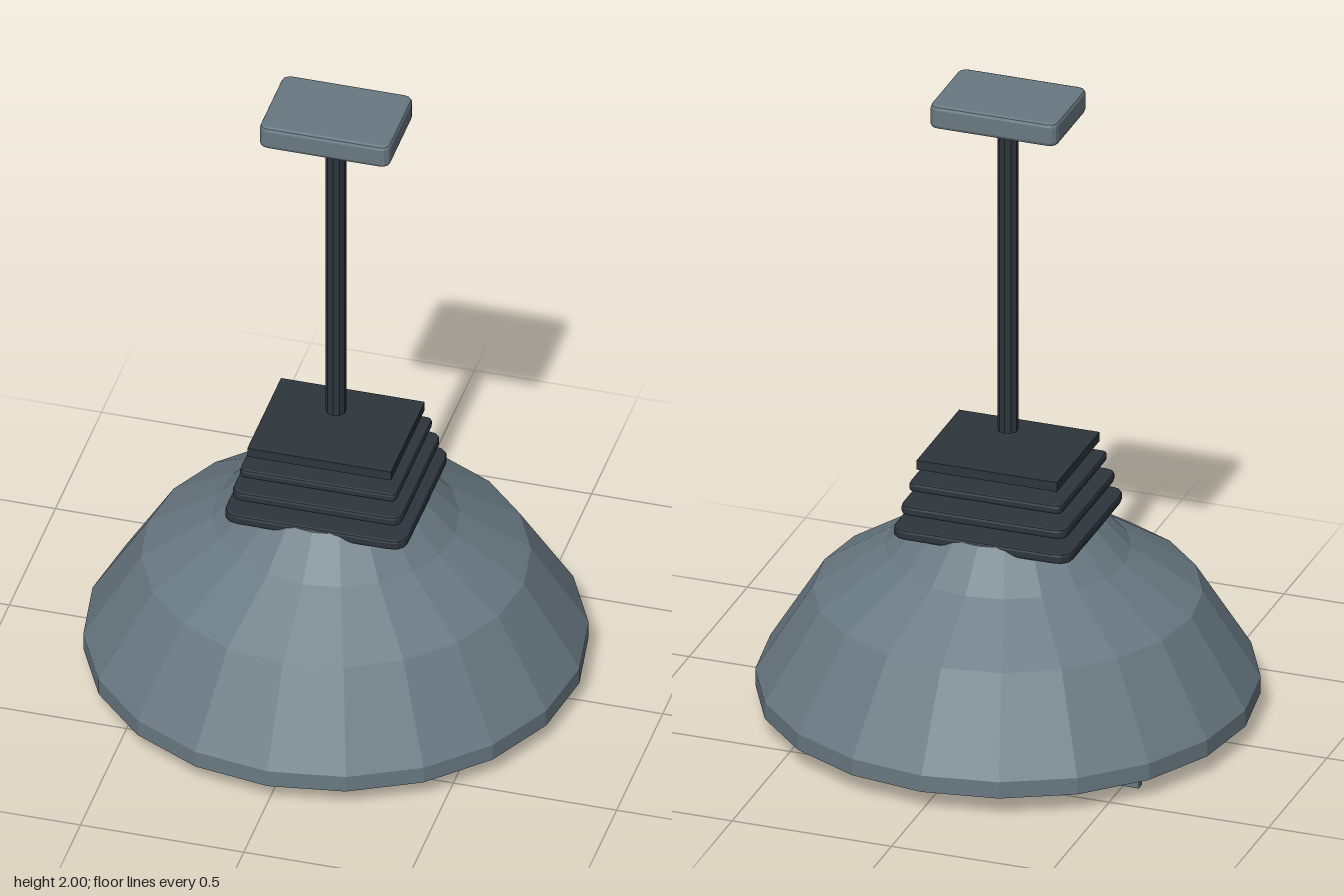
import * as THREE from 'three';

const material = (name, color, flatShading = true) =>
  Object.assign(new THREE.MeshStandardMaterial({ color }), { name, flatShading });

export function createModel() {
  const slate = material('slate enamel', 0x697982);
  const dark = material('dark metal', 0x2d353c);
  const pale = material('pale diffuser', 0xbcd4cf);
  const model = new THREE.Group();
  model.name = 'pendantLamp';

  const add = (name, geometry, mat, x = 0, y = 0, z = 0) => {
    const mesh = new THREE.Mesh(geometry, mat);
    mesh.name = name;
    mesh.position.set(x, y, z);
    model.add(mesh);
    return mesh;
  };

  // Horizontal plate with rounded corners and bevelled edges, from y0 to y1
  const plate = (hx, hz, y0, y1, radius, bevel) => {
    const a = hx - bevel, b = hz - bevel, r = radius - bevel;
    const s = new THREE.Shape();
    s.moveTo(-a + r, -b);
    s.lineTo(a - r, -b);
    s.quadraticCurveTo(a, -b, a, -b + r);
    s.lineTo(a, b - r);
    s.quadraticCurveTo(a, b, a - r, b);
    s.lineTo(-a + r, b);
    s.quadraticCurveTo(-a, b, -a, b - r);
    s.lineTo(-a, -b + r);
    s.quadraticCurveTo(-a, -b, -a + r, -b);
    const g = new THREE.ExtrudeGeometry(s, {
      depth: y1 - y0 - 2 * bevel, bevelEnabled: true, bevelSize: bevel,
      bevelThickness: bevel, bevelSegments: 2, curveSegments: 3,
    });
    return g.rotateX(-Math.PI / 2).translate(0, y0 + bevel, 0);
  };

  // Ceiling canopy and stem
  add('ceilingCanopy', plate(0.2, 0.14, 1.925, 2, 0.03, 0.012), slate);
  add('stem', new THREE.CylinderGeometry(0.031, 0.031, 1.015, 10), dark, 0, 1.4175, 0);

  // Stacked cooling fins, the top one square-cornered
  add('topFin', new THREE.BoxGeometry(0.44, 0.03, 0.365), dark, 0, 0.84, 0);
  [
    [0.24, 0.205, 0.76, 0.788, 0.02],
    [0.26, 0.227, 0.69, 0.72, 0.035],
    [0.28, 0.25, 0.62, 0.652, 0.05],
  ].forEach(([hx, hz, y0, y1, r], i) =>
    add('fin' + (i + 1), plate(hx, hz, y0, y1, r, 0.008), dark));

  // Faceted shade, closed at top and bottom
  const profile = [
    [0, 0.062], [0.745, 0.062], [0.745, 0.115], [0.575, 0.39],
    [0.365, 0.53], [0.258, 0.645], [0, 0.645],
  ].map(([r, y]) => new THREE.Vector2(r, y));
  add('shade', new THREE.LatheGeometry(profile, 20), slate);

  // Diffuser disc with guard bars beneath
  add('diffuser', new THREE.CylinderGeometry(0.665, 0.665, 0.03, 20), pale, 0, 0.055, 0);
  for (const z of [-0.37, 0, 0.37]) {
    add('guardBar', new THREE.BoxGeometry(1.1, 0.04, 0.026), slate, 0, 0.02, z);
  }
  return model;
}
